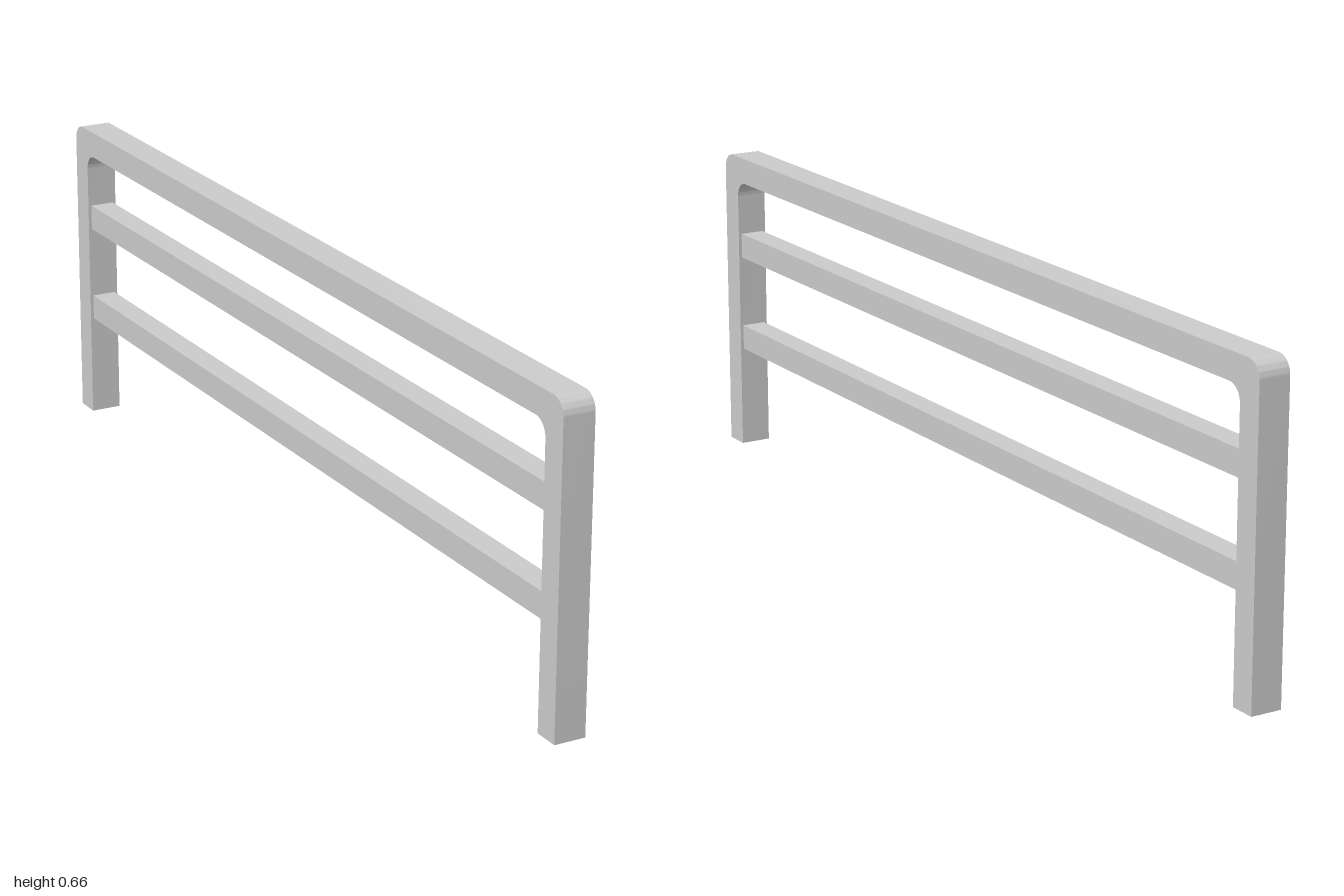
import * as THREE from 'three';
import { toCreasedNormals } from 'three/addons/utils/BufferGeometryUtils.js';

const WIDTH = 0.066, HEIGHT = 0.66, BAR = 0.056;
const INNER = 1 - BAR;

export function createModel() {
  const group = new THREE.Group();
  const material = new THREE.MeshStandardMaterial({ color: 0xcccccc });

  // Bent hoop: two legs and the top bar with rounded corners, drawn in the z-y plane
  const top = HEIGHT - BAR, outerR = 0.034, innerR = 0.034;
  const profile = new THREE.Shape();
  profile.moveTo(INNER, 0);
  profile.lineTo(1, 0);
  profile.lineTo(1, HEIGHT - outerR);
  profile.absarc(1 - outerR, HEIGHT - outerR, outerR, 0, Math.PI / 2, false);
  profile.lineTo(-1 + outerR, HEIGHT);
  profile.absarc(-1 + outerR, HEIGHT - outerR, outerR, Math.PI / 2, Math.PI, false);
  profile.lineTo(-1, 0);
  profile.lineTo(-INNER, 0);
  profile.lineTo(-INNER, top - innerR);
  profile.absarc(-INNER + innerR, top - innerR, innerR, Math.PI, Math.PI / 2, true);
  profile.lineTo(INNER - innerR, top);
  profile.absarc(INNER - innerR, top - innerR, innerR, Math.PI / 2, 0, true);
  profile.closePath();

  const hoop = new THREE.ExtrudeGeometry(profile, { depth: WIDTH, bevelEnabled: false, curveSegments: 10 });
  hoop.translate(0, 0, -WIDTH / 2).rotateY(-Math.PI / 2);
  const frame = new THREE.Mesh(toCreasedNormals(hoop, Math.PI / 6), material);
  frame.name = 'frame';
  group.add(frame);

  // Two slimmer horizontal rails between the legs
  const rails = [['lowerRail', 0.247], ['upperRail', 0.457]];
  for (const [name, y] of rails) {
    const rail = new THREE.Mesh(new THREE.BoxGeometry(0.052, 0.054, INNER * 2), material);
    rail.name = name;
    rail.position.y = y;
    group.add(rail);
  }

  return group;
}
